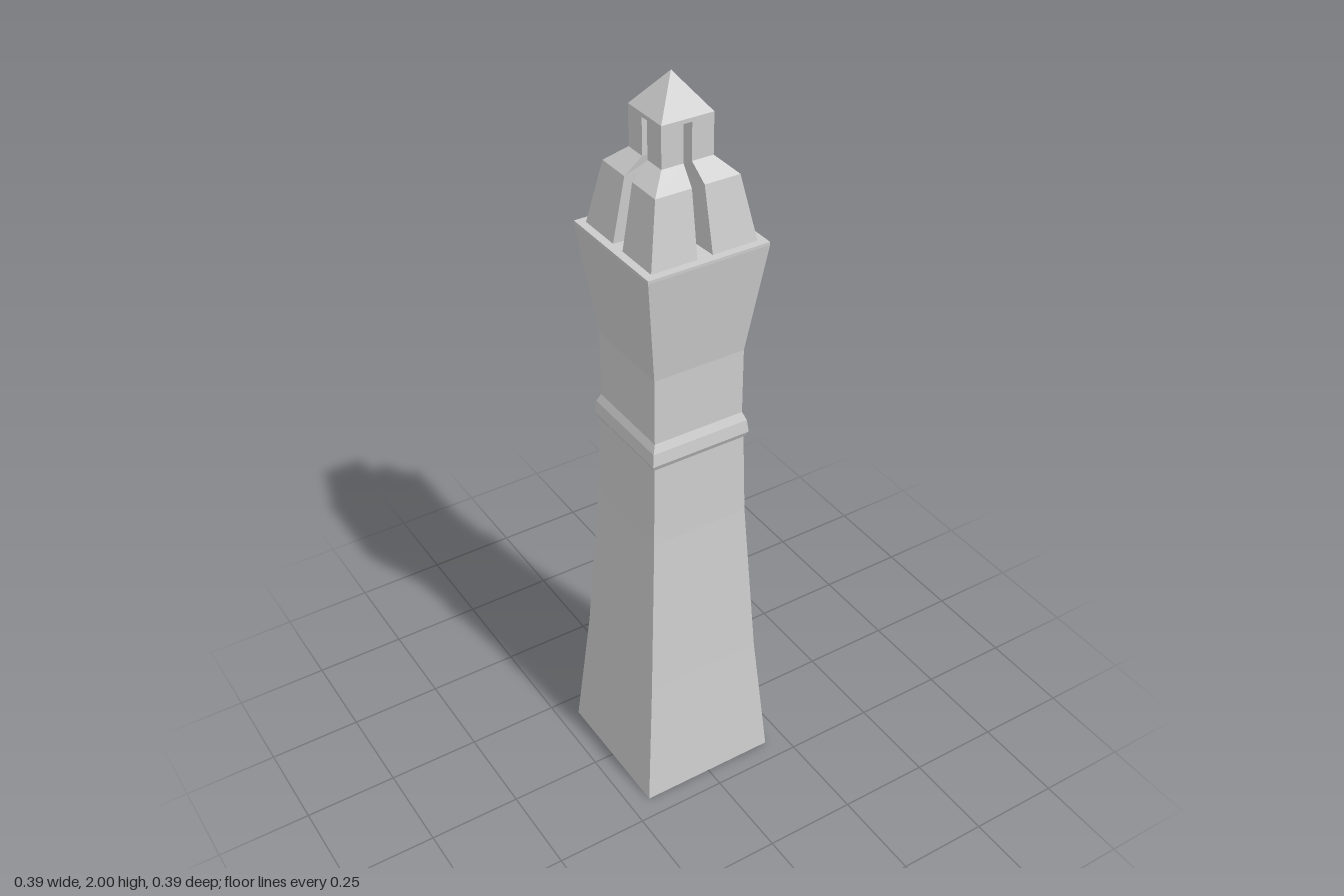
import * as THREE from 'three';

const material = new THREE.MeshStandardMaterial({ color: 0xcccccc, flatShading: true });

function addPart(parent, geometry, name) {
  const mesh = new THREE.Mesh(geometry, material);
  mesh.name = name;
  parent.add(mesh);
  return mesh;
}

// Square solid from a profile of [half width, height]
function squareLathe(profile) {
  const points = profile.map(([w, y]) => new THREE.Vector2(w * Math.SQRT2, y));
  return new THREE.LatheGeometry(points, 4, Math.PI / 4).toNonIndexed();
}

// Corner pier: four-sided sections joined from bottom to top
function pierGeometry() {
  const inner = 0.012;
  const levels = [[0.142, 1.605], [0.111, 1.77], [0.068, 1.81], [0.068, 1.905]];
  const positions = [];
  const indices = [];
  levels.forEach(([w, y]) => {
    const gap = 0.011 + (w - 0.068) * 0.13; // slots flare outward
    for (const [x, z] of [[w, w], [w, gap], [inner, inner], [gap, w]]) positions.push(x, y, z);
  });
  for (let k = 0; k < levels.length - 1; k++) {
    for (let i = 0; i < 4; i++) {
      const a = k * 4 + i;
      const b = k * 4 + (i + 1) % 4;
      indices.push(a, b, b + 4, a, b + 4, a + 4);
    }
  }
  const top = (levels.length - 1) * 4;
  indices.push(top, top + 1, top + 2, top, top + 2, top + 3, 0, 2, 1, 0, 3, 2);
  const geometry = new THREE.BufferGeometry();
  geometry.setAttribute('position', new THREE.Float32BufferAttribute(positions, 3));
  geometry.setIndex(indices);
  const flat = geometry.toNonIndexed();
  flat.computeVertexNormals();
  return flat;
}

export function createModel() {
  const model = new THREE.Group();
  model.name = 'tower';

  // Tapering shaft with a flared head and a flat deck
  addPart(model, squareLathe([
    [0, 0], [0.193, 0], [0.162, 0.37], [0.135, 0.83], [0.129, 1.06],
    [0.125, 1.13], [0.125, 1.31], [0.162, 1.6], [0.162, 1.608], [0, 1.608],
  ]), 'shaft');

  // Moulding around the shaft
  addPart(model, squareLathe([
    [0.12, 1.058], [0.13, 1.058], [0.138, 1.074], [0.134, 1.108], [0.125, 1.13], [0.12, 1.13],
  ]), 'moulding');

  // Four corner piers with cross-shaped slots between them
  const piers = new THREE.Group();
  piers.name = 'lanternPiers';
  const pier = pierGeometry();
  for (let i = 0; i < 4; i++) addPart(piers, pier, 'pier').rotation.y = i * Math.PI / 2;
  model.add(piers);

  // Pyramid roof
  addPart(model, squareLathe([[0, 1.903], [0.068, 1.903], [0.068, 1.913], [0, 2]]), 'roof');

  return model;
}
